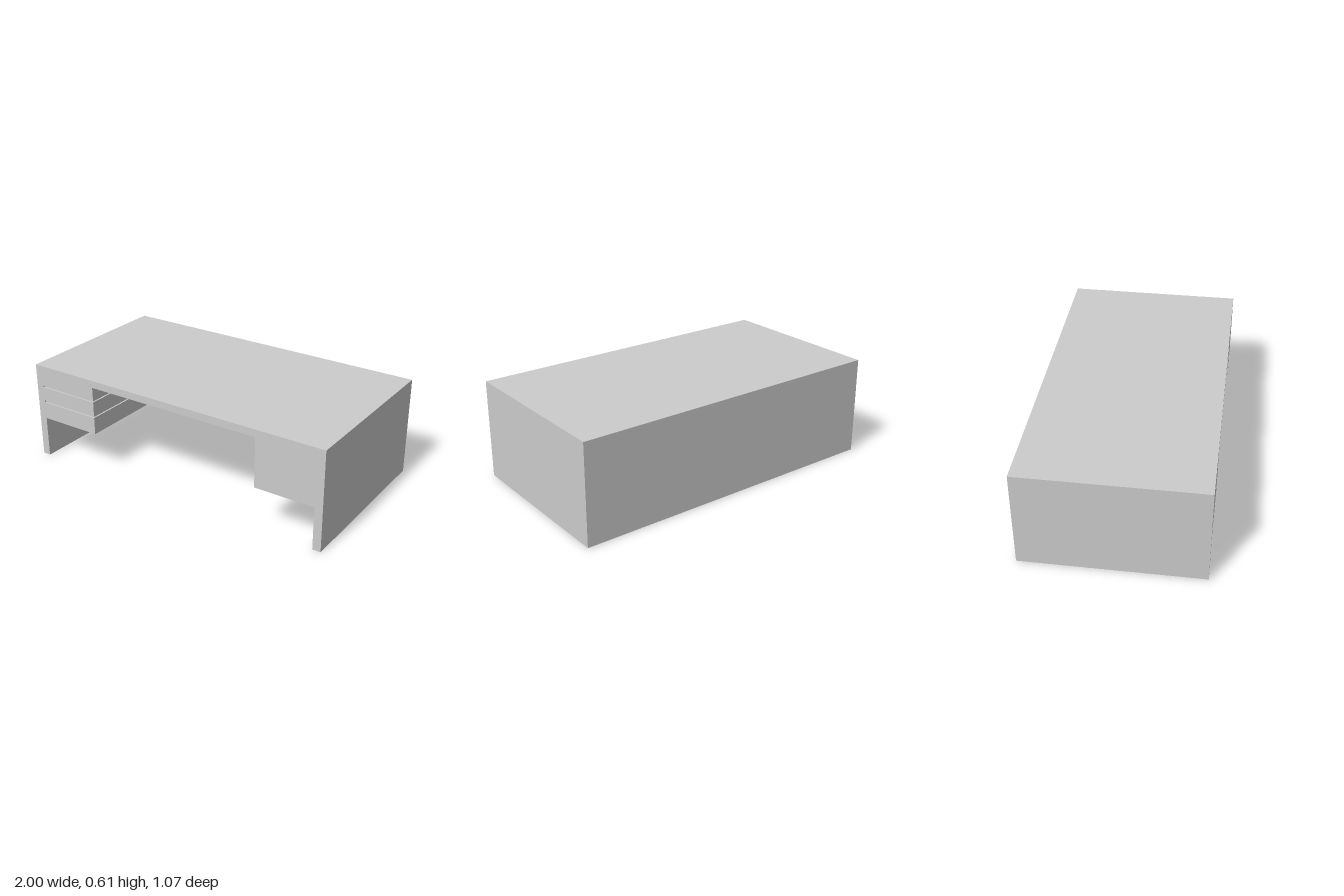
import * as THREE from 'three';

const X = 1, H = 0.61, Z = 0.533; // half width, height, half depth
const WALL = 0.05, TOP_Y = 0.565, CABINET_Y = 0.26;

export function createModel() {
  const desk = new THREE.Group();
  desk.name = 'desk';
  const material = new THREE.MeshStandardMaterial({ color: 0xcccccc });

  // Box given by its lower and upper corners
  function slab(name, [x0, y0, z0], [x1, y1, z1]) {
    const mesh = new THREE.Mesh(new THREE.BoxGeometry(x1 - x0, y1 - y0, z1 - z0), material);
    mesh.position.set((x0 + x1) / 2, (y0 + y1) / 2, (z0 + z1) / 2);
    mesh.name = name;
    desk.add(mesh);
  }

  // Shell: top, back and two sides
  slab('top', [-X, TOP_Y, -Z], [X, H, Z]);
  slab('backPanel', [-X + WALL, 0, -Z], [X - WALL, TOP_Y, -Z + WALL]);
  slab('rightSide', [-X, 0, -Z], [-X + WALL, TOP_Y, Z]);
  slab('leftSide', [X - WALL, 0, -Z], [X, TOP_Y, Z]);

  // Plain cabinet
  const back = -Z + WALL;
  slab('leftCabinet', [0.58, CABINET_Y, back], [X - WALL, TOP_Y, Z]);

  // Drawers around a slightly recessed core, leaving thin grooves
  const inner = -0.55, groove = 0.01;
  slab('drawerCore', [-X + WALL, CABINET_Y + groove, back], [inner - groove, TOP_Y, Z - groove]);
  [[CABINET_Y, 0.368], [0.38, 0.47], [0.48, TOP_Y]].forEach(([y0, y1], i) => {
    slab('drawer' + (i + 1), [-X + WALL, y0, back], [inner, y1, Z]);
  });

  return desk;
}
